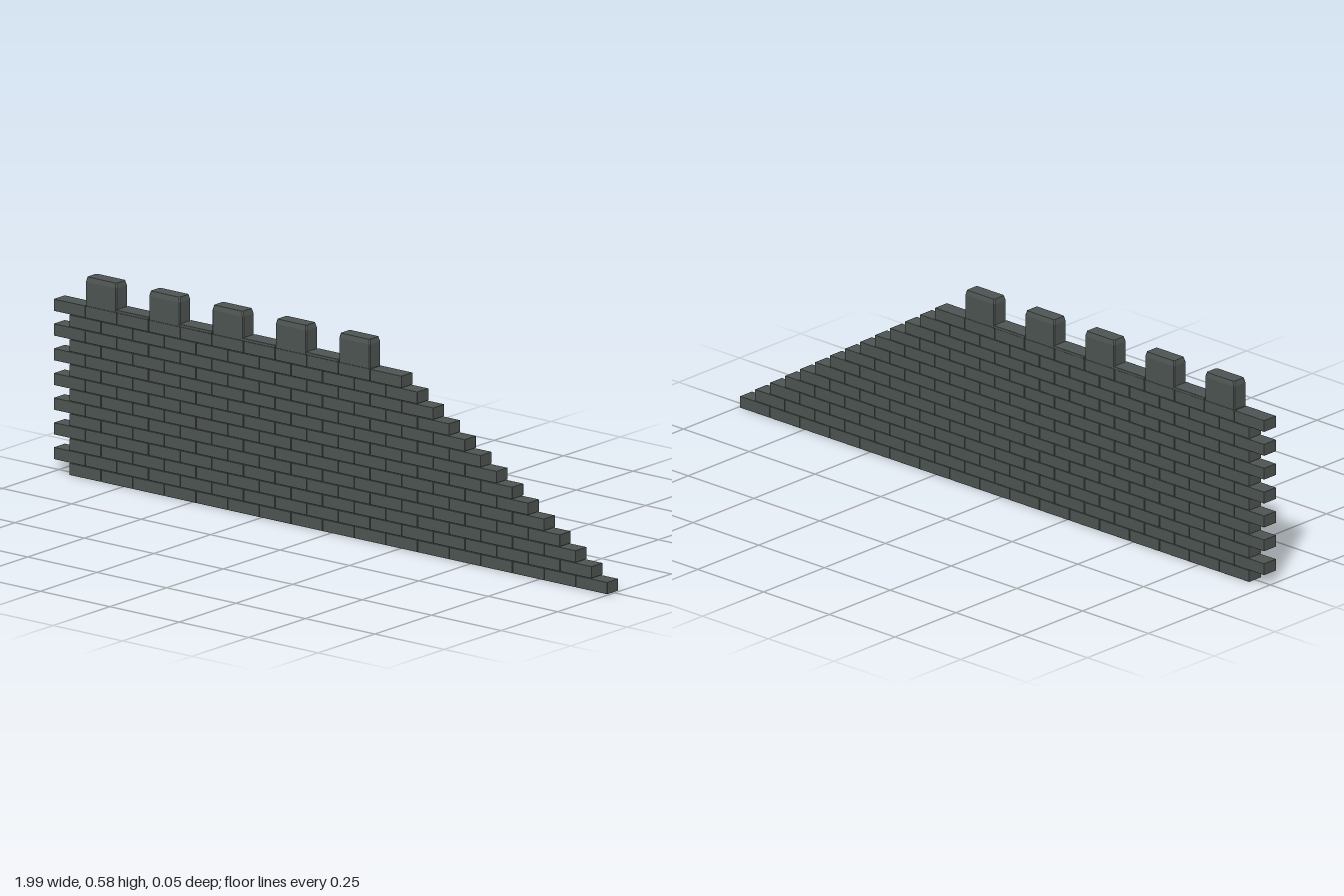
import * as THREE from 'three';
import { RoundedBoxGeometry } from 'three/addons/geometries/RoundedBoxGeometry.js';
import { ConvexGeometry } from 'three/addons/geometries/ConvexGeometry.js';

const COURSES = 14, PITCH = 0.114, RISE = 0.0358, DEPTH = 0.049;

// Chamfered block: octagonal sections, with an inset top
function merlonGeometry(width, depth, height, cut) {
  const points = [];
  const section = (y, inset) => {
    const a = width / 2 - inset, b = depth / 2 - inset;
    for (const sx of [-1, 1]) for (const sz of [-1, 1]) {
      points.push(new THREE.Vector3(sx * a, y, sz * (b - cut)));
      points.push(new THREE.Vector3(sx * (a - cut), y, sz * b));
    }
  };
  section(0, 0);
  section(height - 0.014, 0);
  section(height, 0.0035);
  return new ConvexGeometry(points);
}

export function createModel() {
  const model = new THREE.Group();
  model.name = 'ruinedBattlementWall';
  const stone = new THREE.MeshStandardMaterial({ color: 0x4e5553 });
  stone.name = 'darkStone';

  // Brick courses, alternately offset by half a brick and stepping down to the right end
  const brickGeometry = new RoundedBoxGeometry(PITCH - 0.0015, RISE - 0.0013, DEPTH, 1, 0.001);
  for (let row = 0; row < COURSES; row++) {
    const course = new THREE.Group();
    course.name = `brickCourse${row + 1}`;
    const start = row % 2 ? -1 : -1 + PITCH / 2;
    const count = 17 - Math.floor(row / 2);
    for (let i = 0; i < count; i++) {
      const brick = new THREE.Mesh(brickGeometry, stone);
      brick.name = 'brick';
      brick.position.set(start + (i + 0.5) * PITCH, (row + 0.5) * RISE, 0);
      course.add(brick);
    }
    model.add(course);
  }

  // Merlons on every second top brick, with thin sill slabs between them
  const top = COURSES * RISE;
  const merlon = merlonGeometry(0.112, DEPTH, 0.585 - top, 0.003);
  const sill = new RoundedBoxGeometry(0.118, 0.009, 0.054, 1, 0.002);
  for (let i = 0; i < 5; i++) {
    const x = -1 + (1.5 + 2 * i) * PITCH;
    const block = new THREE.Mesh(merlon, stone);
    block.name = 'merlon';
    block.position.set(x, top, 0);
    model.add(block);
    if (i < 4) {
      const slab = new THREE.Mesh(sill, stone);
      slab.name = 'crenelSill';
      slab.position.set(x + PITCH, top + 0.004, 0);
      model.add(slab);
    }
  }
  return model;
}
